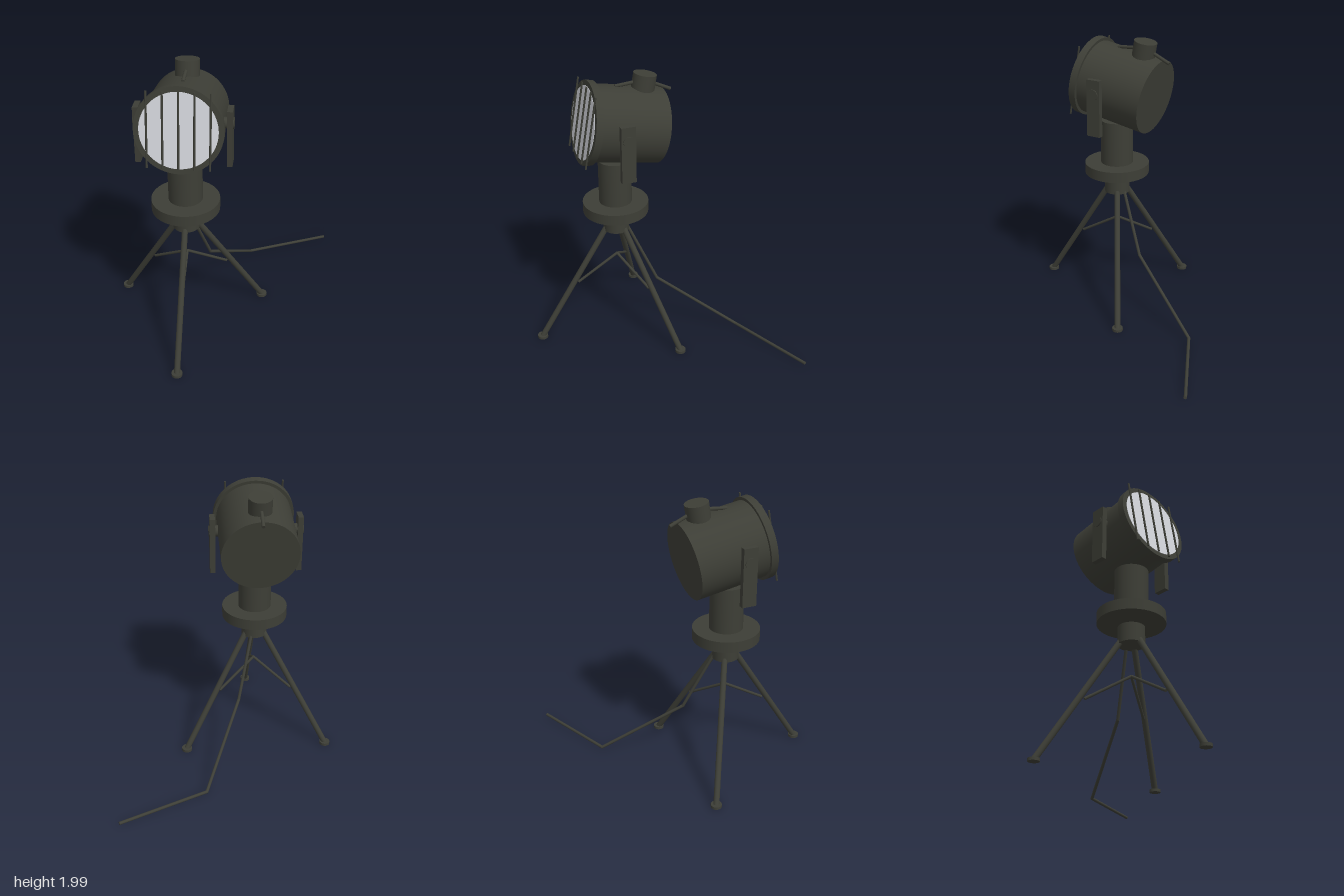
import * as THREE from 'three';

export function createModel() {
  const model = new THREE.Group();
  const paint = new THREE.MeshStandardMaterial({ color: 0x3d3e36 });
  paint.name = 'dark olive paint';
  const glass = new THREE.MeshStandardMaterial({ color: 0xd4d6dc });
  glass.name = 'pale lens';

  const add = (parent, name, geometry, x, y, z, material = paint) => {
    const mesh = new THREE.Mesh(geometry, material);
    mesh.name = name;
    mesh.position.set(x, y, z);
    parent.add(mesh);
    return mesh;
  };
  const disc = (radius, height, sides = 48) => new THREE.CylinderGeometry(radius, radius, height, sides);
  // Round bar between two points
  const rod = (parent, name, from, to, radius) => {
    const a = new THREE.Vector3(...from), b = new THREE.Vector3(...to);
    const dir = b.clone().sub(a);
    const mesh = add(parent, name, disc(radius, dir.length(), 16), 0, 0, 0);
    mesh.position.copy(a).add(b).multiplyScalar(0.5);
    mesh.quaternion.setFromUnitVectors(new THREE.Vector3(0, 1, 0), dir.normalize());
    return mesh;
  };

  // Everything but the cable is centred on the stand axis
  const light = new THREE.Group();
  light.name = 'searchlight';
  light.position.set(-0.225, 0, 0.222);
  model.add(light);

  // Tripod
  add(light, 'tripodHub', disc(0.092, 0.13), 0, 0.9, 0);
  for (let i = 0; i < 3; i++) {
    const angle = i * Math.PI * 2 / 3;
    const at = (r, y) => [Math.sin(angle) * r, y, Math.cos(angle) * r];
    rod(light, 'tripodLeg', at(0.065, 0.87), at(0.604, 0.012), 0.021);
    rod(light, 'legBrace', at(0, 0.615), at(0.305, 0.43), 0.01);
    add(light, 'foot', disc(0.038, 0.02, 24), ...at(0.605, 0.01));
  }

  // Turntable and column
  add(light, 'turntable', disc(0.234, 0.078), 0, 1.027, 0);
  add(light, 'column', disc(0.117, 0.33), 0, 1.225, 0);

  // Side arms and pivots
  for (const side of [-1, 1]) {
    add(light, 'sideArm', new THREE.BoxGeometry(0.037, 0.4, 0.1), side * 0.302, 1.555, 0);
    add(light, 'pivot', disc(0.038, 0.08, 24), side * 0.287, 1.653, 0).rotation.z = Math.PI / 2;
  }

  // Lamp head, tilted upward
  const head = new THREE.Group();
  head.name = 'lampHead';
  head.position.set(0, 1.645, -0.05);
  head.rotation.x = -10 * Math.PI / 180;
  light.add(head);
  add(head, 'drum', disc(0.264, 0.52, 64), 0, 0, -0.006).rotation.x = Math.PI / 2;
  add(head, 'bezel', disc(0.285, 0.05, 64), 0, 0, 0.241).rotation.x = Math.PI / 2;
  add(head, 'lens', disc(0.25, 0.006, 64), 0, 0, 0.266, glass).rotation.x = Math.PI / 2;
  for (let i = -2; i <= 2; i++) {
    add(head, 'lensBar', disc(0.007, 0.5, 8), i * 0.1, 0, 0.274);
  }

  // Vent with drooping handles
  add(head, 'vent', disc(0.08, 0.13), 0, 0.297, -0.12);
  for (const side of [-1, 1]) {
    rod(head, 'ventHandle', [0, 0.317, -0.12], [0, 0.264, -0.12 + side * 0.2], 0.012);
  }

  // Power cable trailing to the ground
  const cable = [[-0.2, 0.86, 0.15], [-0.092, 0.415, -0.043], [0.177, 0.028, -0.588], [0.778, 0.028, -0.852]];
  for (let i = 0; i < 3; i++) rod(model, 'cable', cable[i], cable[i + 1], 0.011);
  for (let i = 1; i < 3; i++) add(model, 'cableBend', new THREE.SphereGeometry(0.011, 12, 8), ...cable[i]);

  return model;
}
